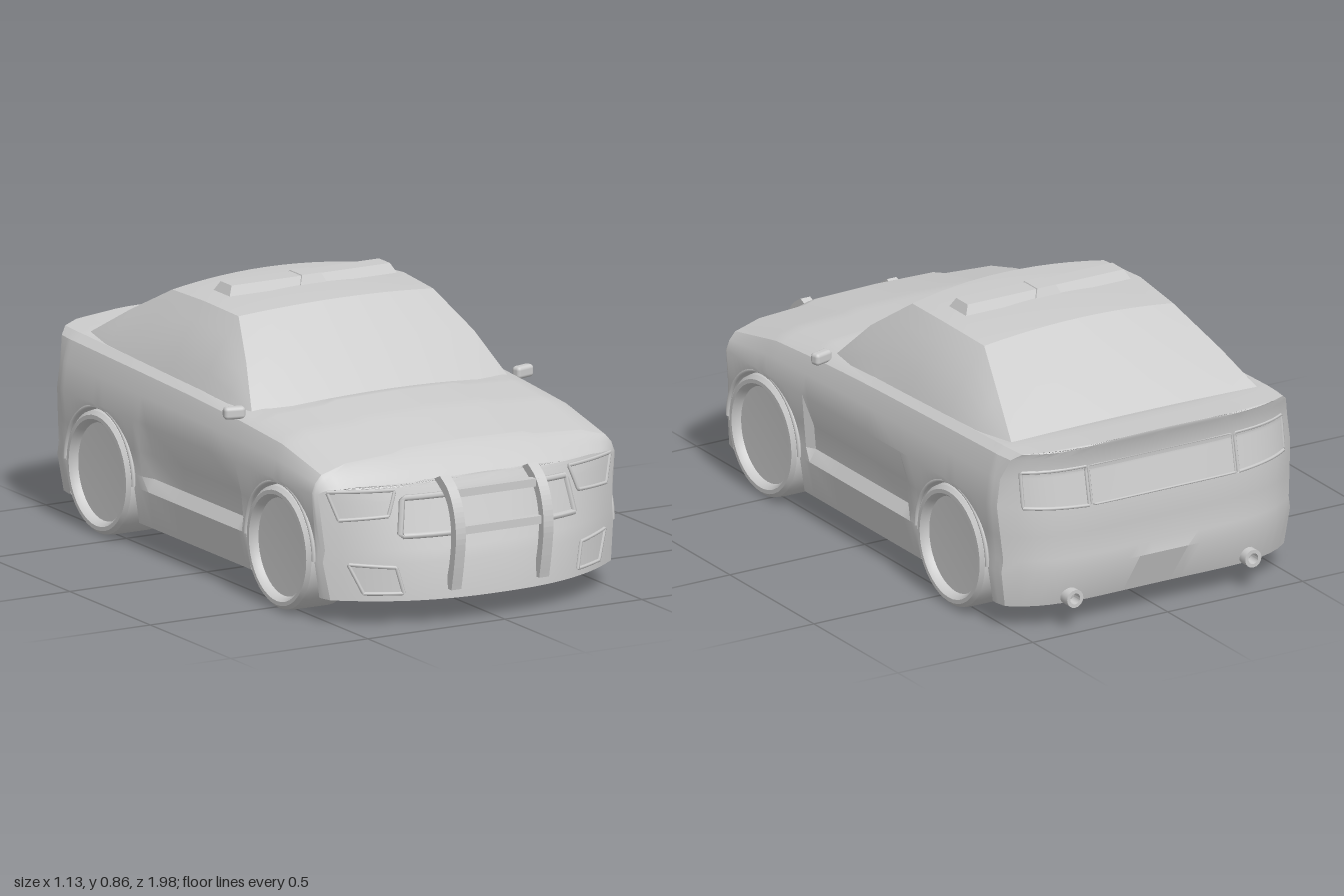
import * as THREE from 'three';
import { toCreasedNormals } from 'three/addons/utils/BufferGeometryUtils.js';
import { RoundedBoxGeometry } from 'three/addons/geometries/RoundedBoxGeometry.js';

const grey = new THREE.MeshStandardMaterial({ color: 0xcccccc, side: THREE.DoubleSide });
const WHEELS = [0.53, -0.59], WHEEL_Y = 0.2, ARCH = 0.212;

// Piecewise linear lookup in [key, value] pairs with rising keys
function lerpTable(t, k) {
  if (k <= t[0][0]) return t[0][1];
  for (let i = 1; i < t.length; i++) {
    const [a, va] = t[i - 1], [b, vb] = t[i];
    if (k <= b) return va + (vb - va) * (k - a) / (b - a);
  }
  return t[t.length - 1][1];
}

function add(parent, name, geometry, x = 0, y = 0, z = 0) {
  const mesh = new THREE.Mesh(geometry, grey);
  mesh.name = name;
  mesh.position.set(x, y, z);
  parent.add(mesh);
  return mesh;
}

// Surface through rows of points
function grid(rows, crease = 0.5) {
  const n = rows[0].length, index = [];
  for (let i = 0; i < rows.length - 1; i++) {
    for (let j = 0; j < n - 1; j++) {
      const a = i * n + j, b = a + n;
      index.push(a, b, a + 1, b, b + 1, a + 1);
    }
  }
  const g = new THREE.BufferGeometry();
  g.setAttribute('position', new THREE.Float32BufferAttribute(rows.flat(2), 3));
  g.setIndex(index);
  return toCreasedNormals(g, crease);
}

// Body heights and side profile
const TOP = [[-0.985, 0.615], [-0.82, 0.606], [-0.7, 0.58], [0.25, 0.58], [0.3, 0.597], [0.5, 0.578], [0.745, 0.53], [0.85, 0.497], [0.955, 0.452]];
const SHOULDER = [[-0.985, 0.6], [-0.8, 0.6], [-0.4, 0.588], [0, 0.575], [0.25, 0.56], [0.5, 0.54], [0.745, 0.485], [0.85, 0.46], [0.955, 0.435]];
const SIDE = [[0.08, 0.525], [0.2, 0.543], [0.24, 0.537], [0.32, 0.544], [0.42, 0.552], [0.5, 0.542]];
const NOSE = [[0.08, -0.01], [0.2, 0], [0.28, 0.025], [0.4, 0.065], [0.45, 0.085]];
const TAIL = [[0.08, 0.045], [0.2, 0.005], [0.28, 0.02], [0.37, 0], [0.53, 0.035], [0.61, 0.008]];

// Rounds the nose and tail in plan and slopes them in profile
function bend(x, y, z) {
  const u = Math.abs(x) / 0.55;
  if (z > 0.745) {
    const t = (z - 0.745) / 0.21;
    return [x * (1 - 0.025 * t), y, z - t * (0.19 * u ** 2.5 + lerpTable(NOSE, y) * (1 - 0.9 * u * u))];
  }
  if (z < -0.82) {
    const t = (-0.82 - z) / 0.165;
    return [x * (1 - 0.015 * t), y, z + t * (0.12 * u ** 5 + lerpTable(TAIL, y) * (1 - 0.4 * u * u))];
  }
  return [x, y, z];
}

// Half section, bottom centre to top centre; a is the height of the wheel arch
function halfSection(z, a) {
  const top = lerpTable(TOP, z), sh = lerpTable(SHOULDER, z), rise = top - sh;
  const dent = z > -0.32 && z < 0.28 ? 0.018 : 0, hood = z > 0.27;
  const side = [0.2, 0.24, 0.32, 0.42].map((h) => {
    const y = Math.max(a, h);
    return [lerpTable(SIDE, y) - (h === 0.24 || h === 0.32 ? dent : 0), y];
  });
  return [
    [0, 0.08], [0.4, 0.08], [0.4, a], [lerpTable(SIDE, a), a], ...side,
    [0.54, 0.42 + (sh - 0.42) * 0.5], [0.518, sh - (sh - 0.42) * 0.12], [0.49, sh],
    [0.43, sh + rise * 0.4], [0.26, sh + rise * (hood ? 0.62 : 0.8)], [0.215, top - rise * 0.1], [0, top],
  ];
}

function buildBody(car) {
  const stations = [0.955, 0.92, 0.88, 0.84, 0.79].map((z) => [z, 0.08]);
  WHEELS.forEach((c, w) => {
    stations.push([c + ARCH, 0.08]);
    for (let k = 0; k <= 20; k++) {
      const t = Math.PI * k / 20;
      stations.push([c + ARCH * Math.cos(t), WHEEL_Y + ARCH * Math.sin(t)]);
    }
    stations.push([c - ARCH, 0.08]);
    if (w === 0) [0.29, 0.26, 0.1, -0.1, -0.29, -0.34].forEach((z) => stations.push([z, 0.08]));
  });
  [-0.82, -0.87, -0.93, -0.985].forEach((z) => stations.push([z, 0.08]));
  add(car, 'bodyShell', grid(stations.map(([z, a]) => {
    const h = halfSection(z, a);
    const mirrored = h.slice(0, -1).reverse().map(([x, y]) => [-x, y]);
    return [...h, ...mirrored].map(([x, y]) => bend(x, y, z));
  })));
  // Nose and tail faces
  for (const [name, z, dir] of [['noseFace', 0.955, 1], ['tailFace', -0.985, -1]]) {
    add(car, name, grid(halfSection(z, 0.08).slice(3).map(([x, y]) =>
      Array.from({ length: 25 }, (_, j) => bend(dir * x * (1 - j / 12), y, z)))));
  }
}

// Four-cornered panel laid on the nose or tail, with a raised rim
function panel(car, name, corners, end, rim = 0.006, lift = 0.004) {
  const z0 = end > 0 ? 0.955 : -0.985, N = 12;
  const at = (u, v) => {
    const [a, b, c, d] = corners;
    const f = (k) => (a[k] * (1 - u) + b[k] * u) * (1 - v) + (d[k] * (1 - u) + c[k] * u) * v;
    const p = bend(f(0), f(1), z0);
    p[2] += end * lift;
    return p;
  };
  const group = new THREE.Group();
  group.name = name;
  add(group, name + 'Face', grid(Array.from({ length: N + 1 }, (_, i) =>
    Array.from({ length: N + 1 }, (_, j) => at(j / N, i / N)))));
  if (rim) {
    const path = new THREE.CurvePath(), loop = [];
    for (let i = 0; i < N; i++) loop.push(at(i / N, 0));
    for (let i = 0; i < N; i++) loop.push(at(1, i / N));
    for (let i = 0; i < N; i++) loop.push(at(1 - i / N, 1));
    for (let i = 0; i <= N; i++) loop.push(at(0, 1 - i / N));
    const v = loop.map((p) => new THREE.Vector3(...p));
    for (let i = 1; i < v.length; i++) path.add(new THREE.LineCurve3(v[i - 1], v[i]));
    add(group, name + 'Rim', new THREE.TubeGeometry(path, 96, rim, 6, false));
  }
  car.add(group);
}

// Rows from windscreen base to rear window base: roof edge, centre line, belt line
const CABIN = [
  { e: [0.47, 0.555, 0.23], c: [0.595, 0.29], b: [0.47, 0.555, 0.23] },
  { e: [0.415, 0.69, 0.1], c: [0.715, 0.125], b: [0.49, 0.568, 0.1] },
  { e: [0.355, 0.8, -0.05], c: [0.822, -0.02], b: [0.49, 0.577, -0.05] },
  { e: [0.365, 0.808, -0.25], c: [0.835, -0.25], b: [0.49, 0.583, -0.25] },
  { e: [0.35, 0.795, -0.47], c: [0.822, -0.48], b: [0.49, 0.589, -0.47] },
  { e: [0.405, 0.7, -0.64], c: [0.722, -0.65], b: [0.487, 0.594, -0.64] },
  { e: [0.455, 0.6, -0.8], c: [0.61, -0.81], b: [0.455, 0.6, -0.8] },
];

function buildCabin(car) {
  const across = ({ e, c }) => Array.from({ length: 13 }, (_, j) => {
    const u = 1 - j / 6, q = u * u;
    return [e[0] * u, c[0] + (e[1] - c[0]) * q, c[1] + (e[2] - c[1]) * q];
  });
  const rows = CABIN.map(across);
  add(car, 'windscreen', grid(rows.slice(0, 3)));
  add(car, 'roof', grid(rows.slice(2, 5)));
  add(car, 'rearWindow', grid(rows.slice(4)));
  const side = grid(CABIN.map(({ e, b }) => [0, 0.25, 0.5, 0.75, 1].map((t) =>
    [0, 1, 2].map((k) => b[k] + (e[k] - b[k]) * t + (k === 0 ? 0.2 * t * (1 - t) * (e[1] - b[1]) : 0)))));
  add(car, 'leftSideWindow', side);
  add(car, 'rightSideWindow', side).scale.x = -1;
}

// Box whose top is drawn in on all sides
function taperedBox(w, h, d, inset) {
  const g = new THREE.BoxGeometry(w, h, d).toNonIndexed(), p = g.attributes.position;
  for (let i = 0; i < p.count; i++) {
    if (p.getY(i) > 0) p.setXYZ(i, p.getX(i) - Math.sign(p.getX(i)) * inset, p.getY(i), p.getZ(i) - Math.sign(p.getZ(i)) * inset);
  }
  g.computeVertexNormals();
  return g;
}

export function createModel() {
  const car = new THREE.Group();
  car.name = 'patrolCar';
  buildBody(car);
  buildCabin(car);

  // Wheels and arch lips
  const tyre = [[0, 0.525], [0.158, 0.53], [0.162, 0.545], [0.172, 0.557], [0.185, 0.557], [0.197, 0.545], [0.2, 0.525], [0.2, 0.4], [0, 0.4]];
  const wheel = toCreasedNormals(new THREE.LatheGeometry(tyre.map(([r, h]) => new THREE.Vector2(r, h)).reverse(), 40), 0.6);
  const lip = new THREE.TorusGeometry(ARCH, 0.007, 6, 32, Math.PI);
  for (const s of [1, -1]) {
    WHEELS.forEach((z, i) => {
      const name = (i ? 'rear' : 'front') + (s > 0 ? 'Left' : 'Right');
      add(car, name + 'Wheel', wheel, 0, WHEEL_Y, z).rotation.z = -s * Math.PI / 2;
      add(car, name + 'ArchLip', lip, s * 0.545, WHEEL_Y, z).rotation.y = Math.PI / 2;
    });
    const side = s > 0 ? 'left' : 'right', mx = (pts) => pts.map(([x, y]) => [s * x, y]);
    // Lamps, vents and tail lamps
    panel(car, side + 'Headlight', mx([[0.5, 0.338], [0.355, 0.348], [0.325, 0.428], [0.53, 0.428]]), 1);
    panel(car, side + 'BumperVent', mx([[0.44, 0.105], [0.325, 0.105], [0.345, 0.188], [0.48, 0.198]]), 1);
    panel(car, side + 'TailLamp', mx([[0.28, 0.41], [0.49, 0.42], [0.49, 0.535], [0.28, 0.535]]), -1);
    // Door mirror on its stalk
    add(car, side + 'Mirror', new RoundedBoxGeometry(0.07, 0.04, 0.035, 3, 0.012), s * 0.527, 0.567, 0.215).rotation.y = s * 0.25;
    add(car, side + 'MirrorStalk', new THREE.TubeGeometry(new THREE.LineCurve3(
      new THREE.Vector3(s * 0.485, 0.53, 0.23), new THREE.Vector3(s * 0.51, 0.56, 0.218)), 1, 0.009, 6));
    // Exhaust pipe with a hollow end
    const pipe = [[0.018, -0.06], [0.018, 0.05], [0.03, 0.05], [0.03, -0.06]].map(([r, h]) => new THREE.Vector2(r, h));
    add(car, side + 'Exhaust', toCreasedNormals(new THREE.LatheGeometry(pipe, 16), 0.6), s * 0.33, 0.105, -0.93).rotation.x = -Math.PI / 2;
    // Push bar upright
    const bar = new THREE.Shape();
    bar.moveTo(0.93, 0.11);
    bar.lineTo(0.972, 0.11);
    bar.splineThru([[0.99, 0.2], [1, 0.29], [0.985, 0.37], [0.95, 0.43], [0.9, 0.465]].map(([a, b]) => new THREE.Vector2(a, b)));
    bar.lineTo(0.865, 0.45);
    bar.splineThru([[0.93, 0.405], [0.96, 0.35], [0.97, 0.28], [0.96, 0.2], [0.94, 0.13]].map(([a, b]) => new THREE.Vector2(a, b)));
    const g = new THREE.ExtrudeGeometry(bar, { depth: 0.036, bevelEnabled: false, curveSegments: 4 });
    g.rotateY(-Math.PI / 2);
    add(car, side + 'PushBarUpright', g, s * 0.16 + 0.018, 0, 0);
  }
  // Push bar cross members
  add(car, 'upperCrossBar', new THREE.BoxGeometry(0.3, 0.026, 0.025), 0, 0.415, 0.94);
  add(car, 'lowerCrossBar', new THREE.BoxGeometry(0.3, 0.026, 0.025), 0, 0.302, 0.975);

  // Grille and tail panels
  panel(car, 'grille', [[0.325, 0.285], [-0.325, 0.285], [-0.305, 0.402], [0.305, 0.402]], 1, 0.01);
  panel(car, 'tailPanel', [[-0.27, 0.41], [0.27, 0.41], [0.27, 0.535], [-0.27, 0.535]], -1, 0.004);

  // Roof light bar
  add(car, 'lightBar', taperedBox(0.61, 0.03, 0.1, 0.016), 0, 0.842, -0.24);
  add(car, 'lightBarCentre', taperedBox(0.1, 0.036, 0.11, 0.016), 0, 0.842, -0.24);
  return car;
}
